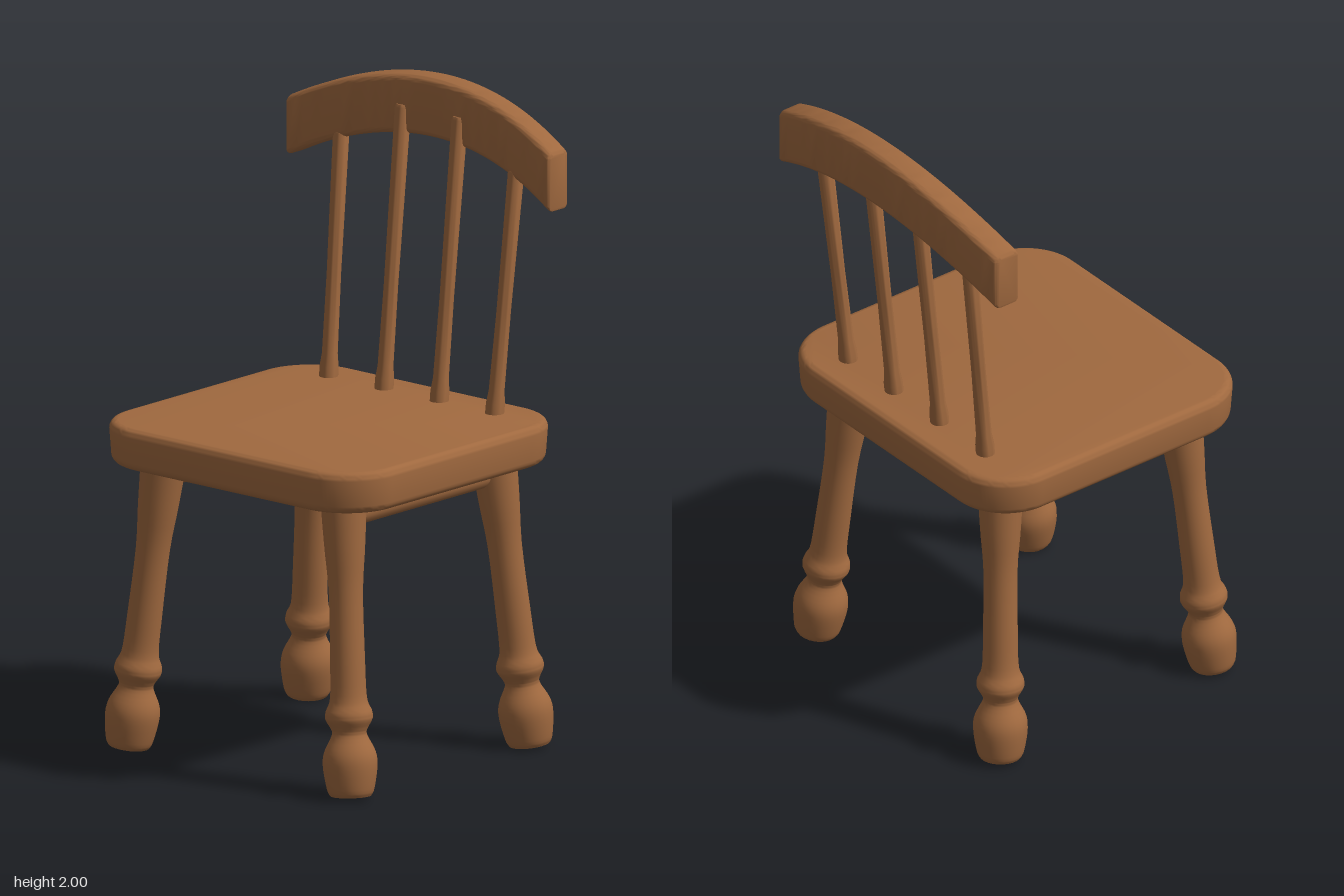
import * as THREE from 'three';
import { toCreasedNormals } from 'three/addons/utils/BufferGeometryUtils.js';

const wood = new THREE.MeshStandardMaterial({ color: 0xa0693f });
wood.name = 'wood';

function roundedRect(w, h, r) {
  const x = w / 2, y = h / 2;
  const s = new THREE.Shape();
  s.absarc(x - r, y - r, r, 0, Math.PI / 2);
  s.absarc(-x + r, y - r, r, Math.PI / 2, Math.PI);
  s.absarc(-x + r, -y + r, r, Math.PI, Math.PI * 1.5);
  s.absarc(x - r, -y + r, r, Math.PI * 1.5, Math.PI * 2);
  s.closePath();
  return s;
}

// Move each vertex by a rule
function deform(geometry, rule) {
  const p = geometry.attributes.position;
  const v = new THREE.Vector3();
  for (let i = 0; i < p.count; i++) {
    rule(v.fromBufferAttribute(p, i));
    p.setXYZ(i, v.x, v.y, v.z);
  }
  return toCreasedNormals(geometry, 0.7);
}

// Turned piece: [radius, height] profile stood on "from" and leaning towards "to"
function turned(name, profile, from, to, smooth = true) {
  let pts = profile.map(([r, h]) => new THREE.Vector2(r, h));
  if (smooth) pts = new THREE.SplineCurve(pts).getPoints(48);
  pts = [new THREE.Vector2(0, pts[0].y), ...pts, new THREE.Vector2(0, pts[pts.length - 1].y)];
  const mesh = new THREE.Mesh(toCreasedNormals(new THREE.LatheGeometry(pts, 24), 0.8), wood);
  mesh.name = name;
  const a = new THREE.Vector3(...from), b = new THREE.Vector3(...to);
  mesh.position.copy(a);
  mesh.quaternion.setFromUnitVectors(new THREE.Vector3(0, 1, 0), b.sub(a).normalize());
  return mesh;
}

export function createModel() {
  const chair = new THREE.Group();
  chair.name = 'chair';

  // Seat slab with soft edges, narrowing slightly downwards
  const bevel = 0.025;
  const seatGeo = new THREE.ExtrudeGeometry(roundedRect(1.08 - 2 * bevel, 1.01 - 2 * bevel, 0.16), {
    depth: 0.13 - 2 * bevel, bevelSize: bevel, bevelThickness: bevel, bevelSegments: 5, curveSegments: 12,
  });
  seatGeo.rotateX(-Math.PI / 2).translate(0, 0.90 + bevel, 0.025);
  const seat = new THREE.Mesh(deform(seatGeo, (v) => {
    const k = 1 - 0.12 * Math.max(0, 1.0 - v.y);
    v.x *= k;
    v.z = 0.025 + (v.z - 0.025) * k;
  }), wood);
  seat.name = 'seat';
  chair.add(seat);

  // Splayed turned legs and the side stretchers
  const legProfile = [
    [0.062, 0], [0.072, 0.02], [0.083, 0.09], [0.078, 0.135], [0.054, 0.185], [0.056, 0.205],
    [0.072, 0.235], [0.07, 0.26], [0.056, 0.30], [0.053, 0.42], [0.052, 0.62], [0.062, 0.76],
    [0.070, 0.90], [0.070, 0.94],
  ];
  for (const side of [-1, 1]) {
    chair.add(turned('frontLeg', legProfile, [side * 0.447, 0.01, 0.432], [side * 0.36, 0.92, 0.367]));
    chair.add(turned('backLeg', legProfile, [side * 0.447, 0.01, -0.387], [side * 0.36, 0.92, -0.318]));
    chair.add(turned('sideStretcher', [[0.03, 0], [0.041, 0.03], [0.041, 0.59], [0.03, 0.62]],
      [side * 0.363, 0.86, -0.28], [side * 0.363, 0.86, 0.34], false));
  }

  // Back spindles with slightly swollen feet; the inner pair reaches higher
  const spindles = [[0.333, 0.352, 1.78], [0.111, 0.114, 1.90]];
  for (const side of [-1, 1]) {
    for (const [x0, x1, top] of spindles) {
      const from = [side * x0, 1.0, -0.352];
      const to = [side * x1, top, -0.352 - (top - 1.0) * 0.105];
      const len = Math.hypot(to[0] - from[0], to[1] - from[1], to[2] - from[2]);
      chair.add(turned('spindle',
        [[0.029, 0], [0.029, 0.06], [0.024, 0.10], [0.022, 0.35], [0.025, len - 0.01], [0.022, len]],
        from, to, false));
    }
  }

  // Top rail: rounded bar swept across, arched upwards and bowed backwards
  const b = 0.01;
  const railGeo = new THREE.ExtrudeGeometry(roundedRect(0.092 - 2 * b, 0.185 - 2 * b, 0.012), {
    depth: 1.06 - 2 * b, steps: 40, bevelSize: b, bevelThickness: b, bevelSegments: 3, curveSegments: 4,
  });
  railGeo.translate(0, 0, -0.53 + b).rotateY(Math.PI / 2);
  const rail = new THREE.Mesh(deform(railGeo, (v) => {
    const arch = 1 - (v.x / 0.53) ** 2;
    v.y += 1.772 + 0.136 * arch;
    v.z += -0.424 - 0.057 * arch;
  }), wood);
  rail.name = 'topRail';
  chair.add(rail);

  return chair;
}
